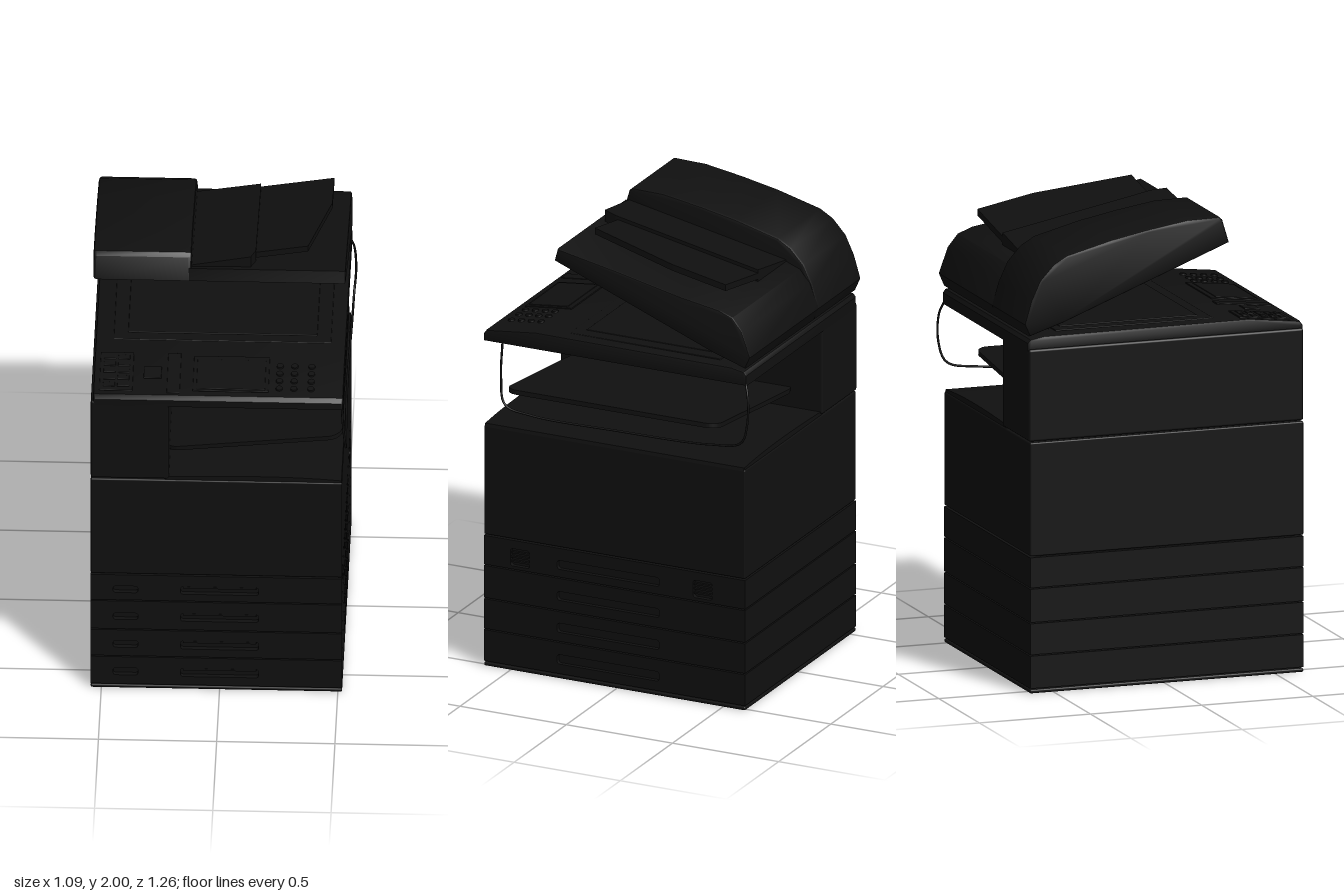
import * as THREE from 'three';
import { toCreasedNormals } from 'three/addons/utils/BufferGeometryUtils.js';
import { RoundedBoxGeometry } from 'three/addons/geometries/RoundedBoxGeometry.js';

const black = new THREE.MeshStandardMaterial({ color: 0x101010 });

function add(parent, name, geo, x = 0, y = 0, z = 0) {
  const mesh = new THREE.Mesh(geo, black);
  mesh.name = name;
  mesh.position.set(x, y, z);
  parent.add(mesh);
  return mesh;
}

// Box given by its limits, with slightly softened edges
function block(parent, name, [x0, x1], [y0, y1], [z0, z1], r = 0.006) {
  const geo = new RoundedBoxGeometry(x1 - x0, y1 - y0, z1 - z0, 2, r);
  return add(parent, name, geo, (x0 + x1) / 2, (y0 + y1) / 2, (z0 + z1) / 2);
}

const shapeOf = (pts) => new THREE.Shape(pts.map(([a, b]) => new THREE.Vector2(a, b)));

// Side profile in (z, y), extruded from x0 to x1 with a small bevel
function sideProfile(parent, name, pts, x0, x1, bevel = 0.008) {
  const geo = new THREE.ExtrudeGeometry(shapeOf(pts.map(([z, y]) => [-z, y])), {
    depth: x1 - x0 - 2 * bevel, bevelThickness: bevel, bevelSize: bevel,
    bevelOffset: -bevel, bevelSegments: 2,
  });
  geo.translate(0, 0, bevel).rotateY(Math.PI / 2);
  return add(parent, name, toCreasedNormals(geo, 0.6), x0, 0, 0);
}

// Rounded rectangle path from limits
function roundRect(target, x0, x1, y0, y1, r) {
  target.moveTo(x0 + r, y0);
  target.lineTo(x1 - r, y0).absarc(x1 - r, y0 + r, r, -Math.PI / 2, 0);
  target.lineTo(x1, y1 - r).absarc(x1 - r, y1 - r, r, 0, Math.PI / 2);
  target.lineTo(x0 + r, y1).absarc(x0 + r, y1 - r, r, Math.PI / 2, Math.PI);
  target.lineTo(x0, y0 + r).absarc(x0 + r, y0 + r, r, Math.PI, Math.PI * 1.5);
  return target;
}

// Flat panel with recessed hand slots, lying in the xy plane
function slottedPanel(w0, w1, y0, y1, slots, depth) {
  const shape = shapeOf([[w0, y0], [w1, y0], [w1, y1], [w0, y1]]);
  for (const [a, b, c, d] of slots) shape.holes.push(roundRect(new THREE.Path(), a, b, c, d, 0.012));
  return new THREE.ExtrudeGeometry(shape, { depth, bevelEnabled: false, curveSegments: 5 });
}

const X = [-0.545, 0.518], Z = [-0.605, 0.625], SKIN = 0.02;

function cabinet(root) {
  const g = new THREE.Group();
  g.name = 'cabinet';
  root.add(g);
  block(g, 'innerCore', [X[0] + 0.01, X[1] - 0.01], [0, 1.085], [Z[0] + 0.01, Z[1] - 0.01]);
  g.children[0].scale.set(0.97, 1, 0.97);
  block(g, 'plinth', X, [0, 0.016], Z);
  block(g, 'upperBody', X, [0.594, 1.085], Z);

  // Four paper drawers: bottom, top, slot bottom, slot top
  const drawers = [[0.022, 0.162, 0.065, 0.108], [0.168, 0.302, 0.208, 0.25],
    [0.308, 0.452, 0.353, 0.393], [0.458, 0.588, 0.493, 0.533]];
  drawers.forEach(([y0, y1, s0, s1], i) => {
    const d = new THREE.Group();
    d.name = 'drawer' + (i + 1);
    g.add(d);
    add(d, 'drawerBody', new THREE.BoxGeometry(X[1] - X[0] - SKIN, y1 - y0, Z[1] - Z[0] - SKIN),
      (X[0] + X[1] - SKIN) / 2, (y0 + y1) / 2, (Z[0] + Z[1] - SKIN) / 2);
    add(d, 'drawerFront', slottedPanel(X[0], X[1], y0, y1,
      [[-0.165, 0.165, s0, s1], [-0.45, -0.345, s0 + 0.003, s1 - 0.003]], SKIN), 0, 0, Z[1] - SKIN);
    const slots = [[-0.28, 0.2, s0, s1]];
    if (i === 3) slots.push([-0.5, -0.41, 0.472, 0.55], [0.36, 0.45, 0.472, 0.55]);
    const side = slottedPanel(-Z[1], -Z[0], y0, y1, slots, SKIN).rotateY(Math.PI / 2);
    add(d, 'drawerSide', side, X[1] - SKIN, 0, 0);
    // Lip along the upper part of the hand slot
    add(d, 'slotLip', new THREE.BoxGeometry(0.31, 0.01, 0.014), 0, s1 - 0.006, Z[1] - 0.008);
  });
  // Grille bars in the two square side slots
  for (const z of [0.455, -0.405]) for (let k = 0; k < 3; k++)
    add(g, 'grilleBar', new THREE.BoxGeometry(0.012, 0.008, 0.086), X[1] - 0.01, 0.492 + k * 0.02, z);

  // Gently domed output surface
  const top = new THREE.Shape();
  top.moveTo(-0.23, 1.08).lineTo(0.518, 1.08).lineTo(0.515, 1.095);
  top.quadraticCurveTo(0.25, 1.12, -0.23, 1.1);
  const geo = new THREE.ExtrudeGeometry(top, { depth: 1.22, bevelEnabled: false });
  add(g, 'outputSurface', toCreasedNormals(geo, 0.5), 0, 0, -0.6);
}

function upperUnit(root) {
  const g = new THREE.Group();
  g.name = 'scannerUnit';
  root.add(g);
  block(g, 'sideColumn', [-0.545, -0.215], [1.09, 1.488], [-0.61, 0.625], 0.01);
  // Scanner deck with sloping front panel
  sideProfile(g, 'scannerDeck', [[0.626, 1.468], [0.626, 1.5], [0.612, 1.519], [0.38, 1.545],
    [-0.54, 1.541], [-0.6, 1.53], [-0.612, 1.515], [-0.612, 1.468]], -0.535, 0.522);
  block(g, 'glassFrame', [-0.46, 0.46], [1.53, 1.546], [-0.46, 0.25], 0.003);
  block(g, 'scanGlass', [-0.4, 0.4], [1.53, 1.549], [-0.42, 0.2], 0.003);
  for (const x of [-0.36, 0.36]) block(g, 'hinge', [x - 0.05, x + 0.05], [1.53, 1.552], [-0.55, -0.47]);

  // Control panel, laid on the slope
  const panel = new THREE.Group();
  panel.name = 'controlPanel';
  panel.position.set(0, 1.532, 0.485);
  panel.rotation.x = 0.112;
  g.add(panel);
  const plate = (name, x0, x1, z0, z1, h) => block(panel, name, [x0, x1], [-0.006, h], [z0 - 0.485, z1 - 0.485], 0.002);
  plate('screenFrame', -0.115, 0.205, 0.365, 0.585, 0.005);
  plate('screen', -0.1, 0.19, 0.39, 0.575, 0.008);
  plate('leftKeyBoard', -0.51, -0.37, 0.35, 0.59, 0.004);
  plate('centreStrip', -0.225, -0.17, 0.35, 0.6, 0.004);
  plate('squareButton', -0.325, -0.25, 0.44, 0.51, 0.007);
  for (let k = 0; k < 5; k++) {
    plate('leftKey', -0.495, -0.445, 0.37 + k * 0.043, 0.395 + k * 0.043, 0.008);
    plate('leftKey', -0.435, -0.385, 0.37 + k * 0.043, 0.395 + k * 0.043, 0.008);
  }
  for (let r = 0; r < 4; r++) for (let c = 0; c < 3; c++)
    add(panel, 'numberKey', new THREE.CylinderGeometry(0.014, 0.016, 0.012, 14),
      0.25 + c * 0.062 + (c === 2 ? 0.01 : 0), 0.002, -0.065 + r * 0.047);

  // Tilted output tray inside the opening
  const plan = roundRect(new THREE.Shape(), -0.02, 0.735, -0.53, 0.47, 0.06);
  const trayGeo = new THREE.ExtrudeGeometry(plan, { depth: 0.02, bevelEnabled: false }).rotateX(-Math.PI / 2);
  const tray = add(g, 'outputTray', toCreasedNormals(trayGeo, 0.5), -0.215, 1.17, 0);
  tray.rotation.z = 0.105;

  // Cable looping along the open side
  const path = new THREE.CatmullRomCurve3([
    [0.512, 1.48, -0.605], [0.53, 1.42, -0.624], [0.537, 1.3, -0.624], [0.53, 1.21, -0.59], [0.527, 1.18, -0.45],
    [0.52, 1.165, 0], [0.527, 1.17, 0.4], [0.53, 1.2, 0.52], [0.52, 1.32, 0.543], [0.512, 1.475, 0.54],
  ].map((p) => new THREE.Vector3(...p)));
  add(g, 'cable', new THREE.TubeGeometry(path, 80, 0.005, 8));
}

// Solid with an (x, z) plan whose top follows height(x, z)
function slopedSheet(parent, name, pts, height, thick) {
  const geo = new THREE.ExtrudeGeometry(shapeOf(pts.map(([x, z]) => [x, -z])), { depth: thick, bevelEnabled: false });
  geo.rotateX(-Math.PI / 2).translate(0, -thick, 0);
  const p = geo.attributes.position;
  for (let i = 0; i < p.count; i++) p.setY(i, p.getY(i) + height(p.getX(i), p.getZ(i)));
  geo.computeVertexNormals();
  return add(parent, name, geo);
}

function lid(root) {
  const g = new THREE.Group();
  g.name = 'openLid';
  root.add(g);
  // Raised document feeder
  sideProfile(g, 'documentFeeder', [[0.292, 1.885], [0.262, 1.985], [0.245, 2.0], [0.1, 1.997], [-0.07, 1.97],
    [-0.24, 1.937], [-0.44, 1.885], [-0.5, 1.85], [-0.56, 1.785], [-0.6, 1.7], [-0.63, 1.6], [-0.606, 1.545],
    [-0.45, 1.595]], -0.545, -0.13, 0.012);
  // Lower half of the lid
  sideProfile(g, 'lidSlab', [[0.292, 1.885], [0.278, 1.94], [0.0, 1.885], [-0.3, 1.82], [-0.48, 1.79],
    [-0.545, 1.765], [-0.59, 1.71], [-0.63, 1.6], [-0.606, 1.545], [-0.45, 1.595]], -0.145, 0.522);
  // Two stepped document trays
  slopedSheet(g, 'lowerDocumentTray', [[-0.14, -0.48], [0.14, -0.48], [0.14, 0.19], [0.12, 0.25], [-0.14, 0.26]],
    (x, z) => 1.947 + (x + 0.12) * 0.17 + (z - 0.26) * 0.2, 0.06);
  slopedSheet(g, 'upperDocumentTray', [[0.12, -0.48], [0.45, -0.48], [0.45, -0.23], [0.36, 0.18], [0.12, 0.18]],
    (x, z) => 1.96 + (x - 0.14) * 0.17 + (z - 0.18) * 0.2, 0.028);
  // Pressing pad on the underside
  const pad = block(g, 'pressingPad', [-0.44, 0.44], [-0.008, 0.01], [-0.36, 0.36], 0.004);
  pad.position.set(0, 1.73, -0.13);
  pad.rotation.x = -Math.atan(0.375);
}

export function createModel() {
  const root = new THREE.Group();
  root.name = 'officeCopier';
  cabinet(root);
  upperUnit(root);
  lid(root);
  return root;
}
